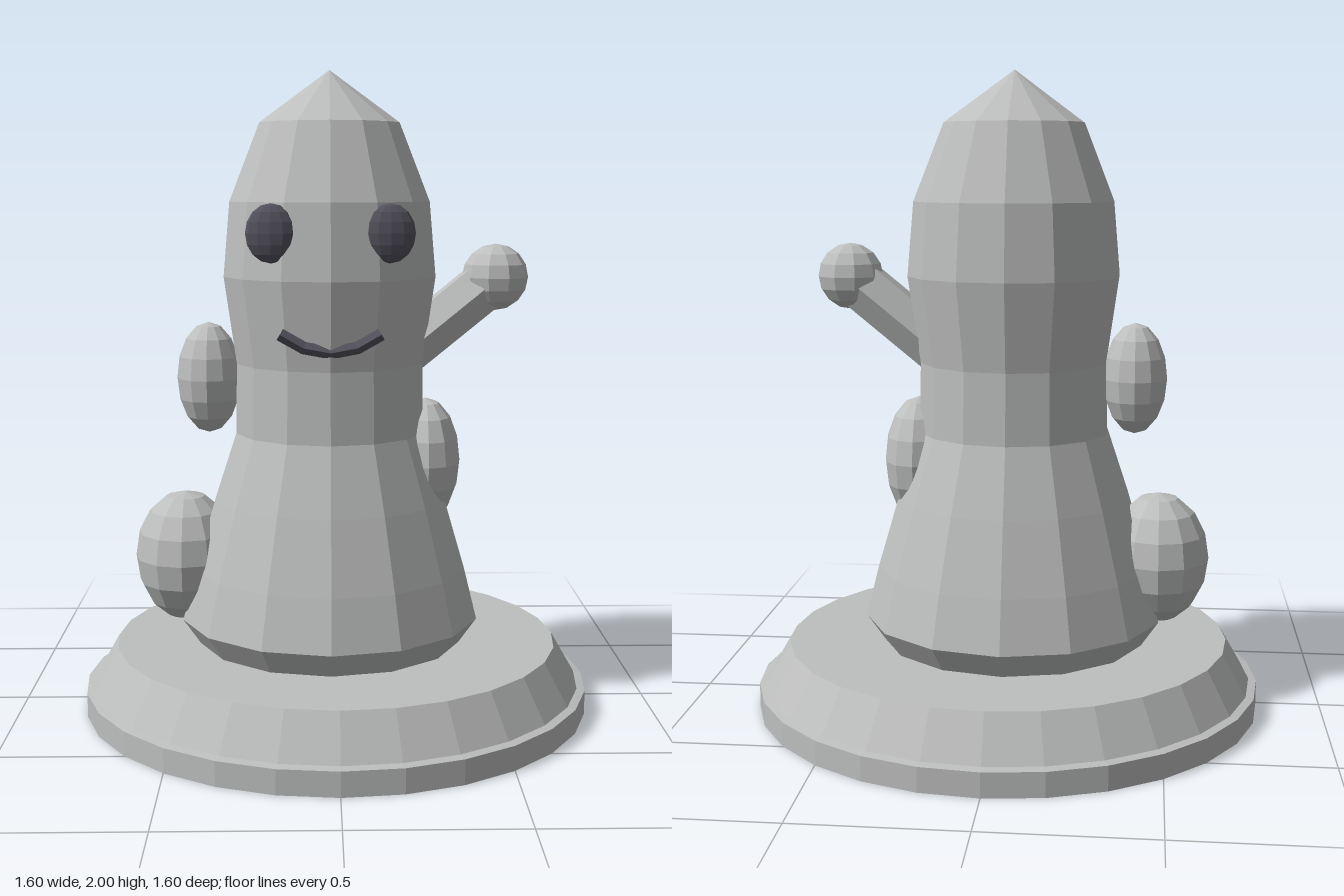
import * as THREE from 'three';

const stone = new THREE.MeshStandardMaterial({ color: 0xbdbfbe });
stone.name = 'pale stone grey';
stone.flatShading = true;
const dark = new THREE.MeshStandardMaterial({ color: 0x55535e });
dark.name = 'dark slate';
dark.flatShading = true;

const BODY_X = -0.02;

export function createModel() {
  const model = new THREE.Group();
  model.name = 'figurine';

  const add = (name, geometry, material, x = 0, y = 0, z = 0) => {
    const mesh = new THREE.Mesh(geometry, material);
    mesh.name = name;
    mesh.position.set(x, y, z);
    model.add(mesh);
    return mesh;
  };
  const lathe = (points, sides) =>
    new THREE.LatheGeometry(points.map(([r, y]) => new THREE.Vector2(r, y)), sides);
  const ellipsoid = (name, material, [x, y, z], [rx, ry, rz], w = 12, h = 8) =>
    add(name, new THREE.SphereGeometry(1, w, h).scale(rx, ry, rz), material, x, y, z);

  // Round stepped plinth
  add('base', lathe([[0, 0], [0.8, 0], [0.8, 0.075], [0.775, 0.08], [0.7, 0.21], [0, 0.21]], 28), stone);

  // Bottle-shaped body with pointed head
  add('body', lathe([
    [0.42, 0.21], [0.475, 0.29], [0.435, 0.45], [0.37, 0.67], [0.3, 0.88], [0.296, 1.1],
    [0.335, 1.37], [0.315, 1.6], [0.22, 1.84], [0, 2],
  ], 14), stone, BODY_X);

  // Egg-shaped growths on the sides
  ellipsoid('lowerRightBump', stone, [-0.48, 0.477, 0], [0.16, 0.208, 0.177]);
  ellipsoid('upperRightBump', stone, [-0.4, 1.05, 0], [0.1, 0.175, 0.115]);
  ellipsoid('leftBump', stone, [0.285, 0.783, 0], [0.11, 0.2, 0.155]);

  // Raised arm: hexagonal rod with corners towards front and back
  const hand = new THREE.Vector3(0.5, 1.365, 0);
  const shoulder = new THREE.Vector3(0.2, 1.12, 0);
  const dir = hand.clone().sub(shoulder);
  const arm = add('arm', new THREE.CylinderGeometry(0.085, 0.085, dir.length(), 6), stone);
  arm.position.copy(shoulder).addScaledVector(dir, 0.5);
  arm.quaternion.setFromUnitVectors(new THREE.Vector3(0, 1, 0), dir.normalize());
  ellipsoid('hand', stone, hand.toArray(), [0.104, 0.104, 0.104], 10, 8);

  // Flattened eyes
  for (const [name, side] of [['leftEye', 1], ['rightEye', -1]]) {
    const eye = ellipsoid(name, dark, [BODY_X + side * 0.175, 1.51, 0.278], [0.076, 0.088, 0.035]);
    eye.rotation.y = side * 0.06;
  }

  // Smile
  const smile = new THREE.CatmullRomCurve3(
    [[-0.15, 1.215], [-0.08, 1.175], [0, 1.16], [0.08, 1.175], [0.15, 1.215]]
      .map(([x, y]) => new THREE.Vector3(x, y, 0.292)));
  add('mouth', new THREE.TubeGeometry(smile, 4, 0.02, 5), dark, BODY_X);

  return model;
}
